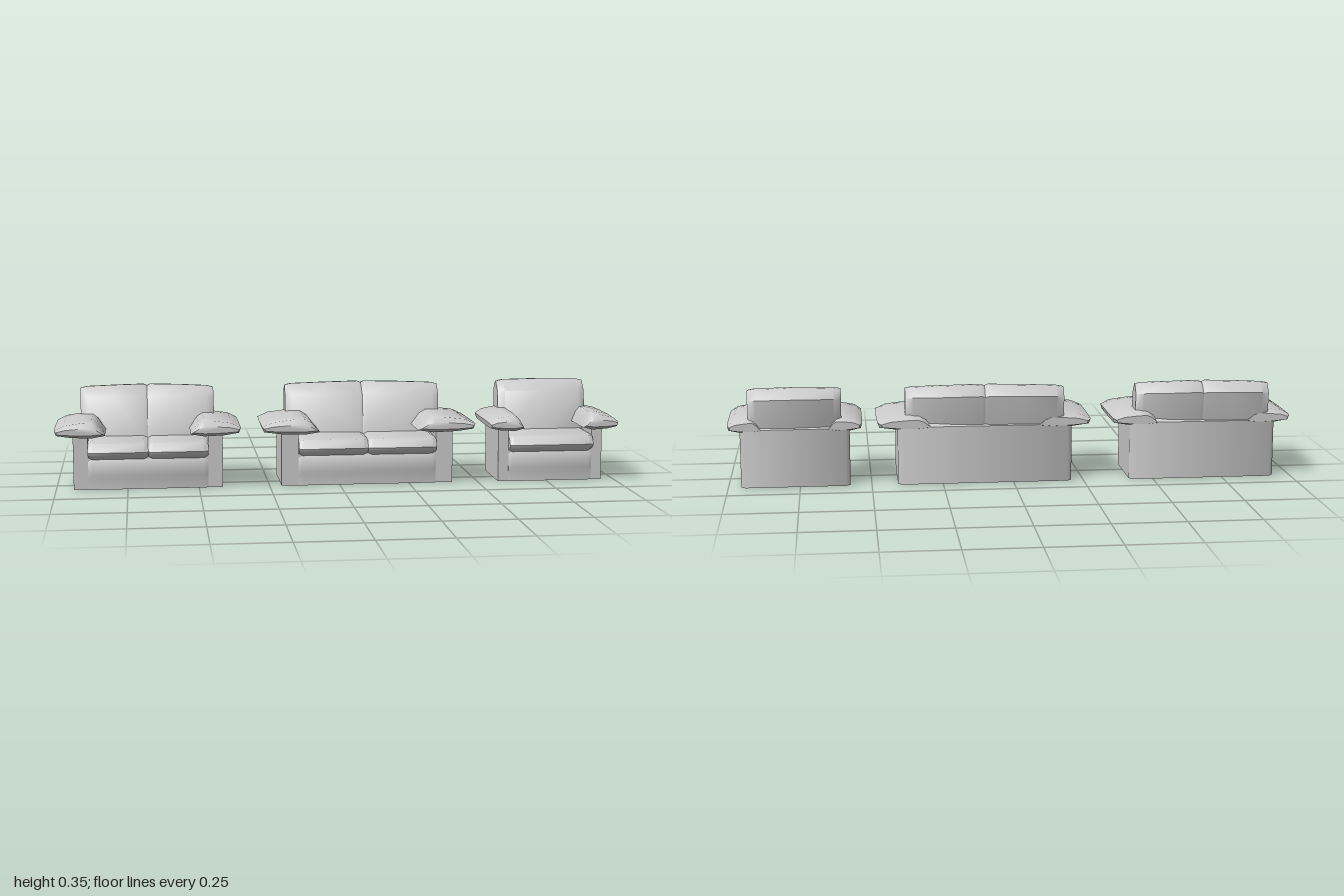
import * as THREE from 'three';
import { toCreasedNormals } from 'three/addons/utils/BufferGeometryUtils.js';

const grey = new THREE.MeshStandardMaterial({ color: 0xcccccc });

// Skin a row of equal-length closed cross-sections, cap both ends, face outwards.
function loft(sections, crease = 0.9) {
  const tris = [];
  const n = sections[0].length;
  for (let s = 0; s < sections.length - 1; s++) {
    const a = sections[s], b = sections[s + 1];
    for (let i = 0; i < n; i++) {
      const j = (i + 1) % n;
      tris.push([a[i], a[j], b[j]], [a[i], b[j], b[i]]);
    }
  }
  const first = sections[0], last = sections[sections.length - 1];
  for (let i = 1; i < n - 1; i++) {
    tris.push([first[0], first[i + 1], first[i]], [last[0], last[i], last[i + 1]]);
  }
  const volume = tris.reduce((v, [a, b, c]) => v + a.dot(b.clone().cross(c)), 0);
  const points = tris.flatMap(([a, b, c]) => (volume < 0 ? [a, c, b] : [a, b, c]));
  return toCreasedNormals(new THREE.BufferGeometry().setFromPoints(points), crease);
}

function add(group, name, geometry) {
  const mesh = new THREE.Mesh(geometry, grey);
  mesh.name = name;
  group.add(mesh);
}

// Cushion running along x: a (z, y) profile with each stop as [x, zScale, yScale, zShift].
function cushion(profile, stops, pivotZ, pivotY) {
  return loft(stops.map(([x, sz, sy, dz = 0]) => profile.map(([z, y]) =>
    new THREE.Vector3(x, pivotY + (y - pivotY) * sy, pivotZ + (z - pivotZ) * sz + dz))));
}

const seatProfile = [[0.088, 0.105], [0.122, 0.122], [0.128, 0.135], [0.108, 0.165],
  [0.06, 0.171], [-0.07, 0.171], [-0.07, 0.105]];
const backProfile = [[-0.02, 0.16], [-0.05, 0.31], [-0.104, 0.347], [-0.124, 0.346],
  [-0.163, 0.312], [-0.146, 0.215], [-0.13, 0.16]];
const panelProfile = [[0.07, 0.0], [0.094, 0.0], [0.094, 0.035], [0.098, 0.05],
  [0.098, 0.09], [0.088, 0.112], [0.07, 0.112]];
// Arm profile: x as a share of the half width, then y.
const armProfile = [[0.46, 0.197], [0.54, 0.235], [0.6, 0.249], [0.7, 0.248],
  [0.9, 0.238], [1.0, 0.22], [0.98, 0.2], [0.82, 0.191], [0.6, 0.188]];
// Arm stops: z, width scale, height scale.
const armStops = [[0.16, 0.92, 0.4], [0.142, 1, 0.9], [0.09, 1, 1], [-0.02, 1, 1],
  [-0.125, 0.98, 0.9], [-0.152, 0.85, 0.5]];

function makeSofa(name, half, seats) {
  const sofa = new THREE.Group();
  sofa.name = name;
  const w = 0.81 * half, inner = 0.65 * half;

  // Body: side walls and seat deck in one, then a back wall with chamfered corners
  const u = new THREE.Shape([[-w, 0], [w, 0], [w, 0.2], [inner, 0.2], [inner, 0.14],
    [-inner, 0.14], [-inner, 0.2], [-w, 0.2]].map(([x, y]) => new THREE.Vector2(x, y)));
  const body = new THREE.ExtrudeGeometry(u, { depth: 0.225, bevelEnabled: false });
  body.translate(0, 0, -0.135);
  add(sofa, 'body', body);
  const wall = (z, x, top) => [[-x, 0], [x, 0], [x, top], [-x, top]]
    .map(([px, y]) => new THREE.Vector3(px, y, z));
  add(sofa, 'backWall', loft([wall(-0.09, w - 0.001, 0.215), wall(-0.135, w, 0.215),
    wall(-0.15, w - 0.015, 0.205)]));

  // Padded front panel under the seat
  add(sofa, 'frontPanel', cushion(panelProfile,
    [[-inner, 0.85, 1], [-inner + 0.015, 1, 1], [inner - 0.015, 1, 1], [inner, 0.85, 1]], 0.07, 0));

  // Seat cushions, meeting at narrow seams
  const seatW = 2 * inner / seats;
  for (let i = 0; i < seats; i++) {
    const l = -inner + i * seatW, r = l + seatW;
    add(sofa, 'seatCushion', cushion(seatProfile,
      [[l, 0.94, 0.8], [l + 0.015, 1, 1], [r - 0.015, 1, 1], [r, 0.94, 0.8]], 0, 0.135));
  }

  // Back cushions: thinner and slightly lower towards the outer ends
  const bw = (seats > 1 ? 0.735 : 0.69) * half;
  if (seats > 1) {
    for (const s of [-1, 1]) {
      add(sofa, 'backCushion', cushion(backProfile,
        [[0, 0.95, 0.97], [s * 0.012, 1, 1], [s * bw * 0.5, 0.97, 0.985, s * 0.004],
          [s * (bw - 0.025), 0.82, 0.965, s * 0.012], [s * bw, 0.6, 0.94, s * 0.014]], -0.095, 0.16));
    }
  } else {
    add(sofa, 'backCushion', cushion(backProfile,
      [[-bw, 0.65, 0.96], [-bw + 0.025, 0.93, 0.99], [0, 1, 1],
        [bw - 0.025, 0.93, 0.99], [bw, 0.65, 0.96]], -0.095, 0.16));
  }

  // Broad pillow arms overhanging the side walls
  for (const s of [-1, 1]) {
    add(sofa, s > 0 ? 'leftArm' : 'rightArm', loft(armStops.map(([z, sx, sy]) =>
      armProfile.map(([x, y]) => new THREE.Vector3(
        s * half * (0.74 + (x - 0.74) * sx), 0.212 + (y - 0.212) * sy, z)))));
  }
  return sofa;
}

export function createModel() {
  const model = new THREE.Group();
  model.name = 'sofaSet';
  const set = [['twoSeatSofa', 0.323, 2, -0.677, -0.004], ['wideSofa', 0.38, 2, 0.1, -0.002],
    ['armchair', 0.235, 1, 0.765, 0.002]];
  for (const [name, half, seats, x, z] of set) {
    const sofa = makeSofa(name, half, seats);
    sofa.position.set(x, 0, z);
    model.add(sofa);
  }
  return model;
}
